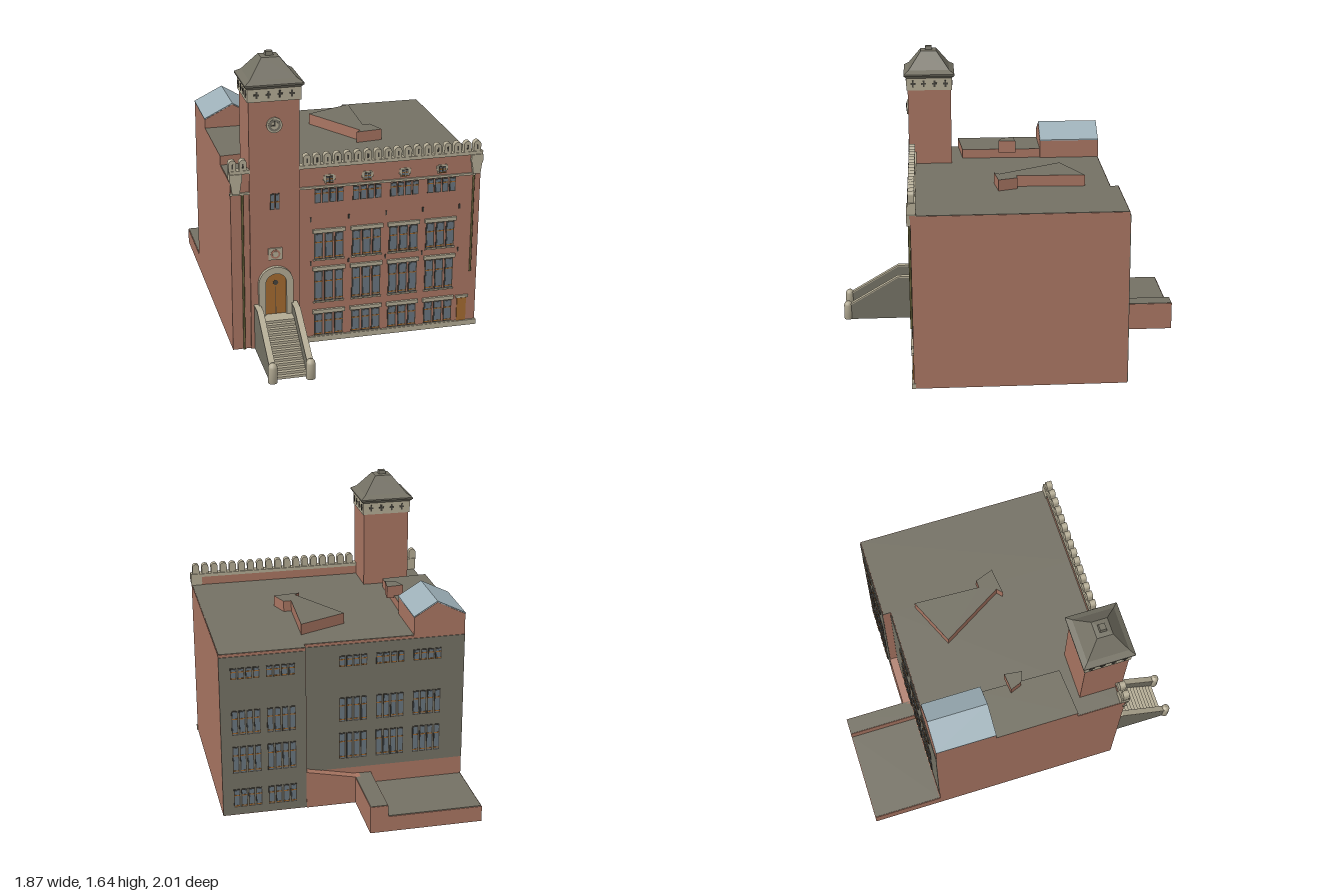
import * as THREE from 'three';

const mat = (name, color) => {
  const m = new THREE.MeshStandardMaterial({ color });
  m.name = name;
  return m;
};

export function createModel() {
  const brick = mat('brick', 0xa87562), stone = mat('stone', 0xb3ab94), slate = mat('slate', 0x747164),
    glass = mat('window glass', 0x68757f), skyGlass = mat('skylight glass', 0x9db0b8),
    frame = mat('dark frame', 0x45423c), wood = mat('orange wood', 0xa36a30), pipe = mat('drain pipe', 0x66623a);

  const model = new THREE.Group();
  model.name = 'building';
  // Building axes: x along the facade, y up, d = depth behind the facade (z = -d)
  const house = new THREE.Group();
  house.name = 'turnedBuilding';
  house.position.set(-0.83, 0, 0.31);
  house.rotation.y = -29.65 * Math.PI / 180;
  model.add(house);

  const add = (name, geo, m, parent = house) => {
    const mesh = new THREE.Mesh(geo, m);
    mesh.name = name;
    parent.add(mesh);
    return mesh;
  };
  const box = (name, m, x0, x1, y0, y1, d0, d1, parent = house) => {
    const mesh = add(name, new THREE.BoxGeometry(x1 - x0, y1 - y0, d1 - d0), m, parent);
    mesh.position.set((x0 + x1) / 2, (y0 + y1) / 2, -(d0 + d1) / 2);
    return mesh;
  };
  const shapeOf = pts => new THREE.Shape(pts.map(p => new THREE.Vector2(...p)));
  const extrude = (shape, depth) => new THREE.ExtrudeGeometry(shape, { depth, bevelEnabled: false, curveSegments: 12 });
  // Prism with a plan outline in (x, d)
  const planBlock = (name, pts, y0, y1) => {
    const mesh = add(name, extrude(shapeOf(pts), y1 - y0).rotateX(-Math.PI / 2), [slate, brick]);
    mesh.position.y = y0;
  };
  // Shape with straight sides and a round top, standing on y = 0
  const archShape = (w, h) => {
    const s = new THREE.Shape();
    s.moveTo(-w / 2, 0);
    s.lineTo(w / 2, 0);
    s.lineTo(w / 2, h - w / 2);
    s.absarc(0, h - w / 2, w / 2, 0, Math.PI, false);
    s.lineTo(-w / 2, 0);
    return s;
  };

  // Main volume with a shallow step at the back
  box('mainBlock', brick, 0, 0.905, 0, 0.965, 0, 1.1);
  box('rightBlock', brick, 0.905, 1.38, 0, 0.965, 0, 1.145);
  box('mainRoof', slate, 0.003, 0.905, 0.96, 0.968, 0.02, 1.097);
  box('rightRoof', slate, 0.905, 1.377, 0.96, 0.968, 0.02, 1.142);
  box('backRenderLeft', slate, 0.0, 0.9, 0.2, 0.95, 1.098, 1.104);
  box('backRenderRight', slate, 0.908, 1.38, 0.005, 0.95, 1.143, 1.149);

  // Raised roof areas
  planBlock('raisedRoof', [[0, 0.28], [0.27, 0.3], [0.28, 0.76], [0, 0.76]], 0.95, 1.02);
  planBlock('roofBlock', [[0.626, 0.84], [0.838, 0.489], [0.808, 0.46], [0.96, 0.478], [0.922, 0.583],
    [0.878, 0.581], [0.893, 0.958]].reverse(), 0.95, 1.03);
  planBlock('roofVent', [[0.223, 0.599], [0.249, 0.533], [0.308, 0.51], [0.321, 0.609]], 1.01, 1.08);

  // Gabled skylight
  add('skylightWalls', extrude(shapeOf([[0, 0.95], [0.29, 0.95], [0.29, 1.07], [0.16, 1.15], [0, 1.07]]), 0.345), brick)
    .position.z = -1.1;
  add('skylightGlass', extrude(shapeOf([[-0.002, 1.07], [0.16, 1.15], [0.292, 1.07], [0.292, 1.076], [0.16, 1.157],
    [-0.002, 1.076]]), 0.343), skyGlass).position.z = -1.099;

  // Low annex at the back
  box('annex', brick, 0, 0.63, 0, 0.09, 1.09, 1.51);
  box('annexRoof', slate, 0.004, 0.53, 0.085, 0.094, 1.104, 1.506);
  box('annexStrip', brick, 0.53, 0.63, 0, 0.157, 1.09, 1.51);
  box('annexStripRoof', slate, 0.533, 0.627, 0.15, 0.16, 1.104, 1.507);
  add('backLedge', extrude(shapeOf([[0.6, 0], [0.91, 0], [0.91, 0.22], [0.63, 0.16], [0.6, 0.16]]), 0.055), brick)
    .position.z = -1.15;

  // Front parapet, bands and battlements
  box('frontParapet', brick, 0.37, 1.38, 0.95, 1.03, -0.004, 0.025);
  box('leftParapet', brick, 0, 0.11, 0.95, 1.03, -0.004, 0.025);
  box('plinth', stone, 0.37, 1.385, 0, 0.03, -0.012, 0.01);
  for (const [x0, x1] of [[-0.005, 0.105], [0.365, 1.385]]) {
    box('coping', stone, x0, x1, 1.018, 1.037, -0.014, 0.03);
    box('cornice', stone, x0, Math.min(x1, 1.35), 0.9, 0.912, -0.01, 0.01);
  }
  const merlonShape = archShape(0.04, 0.064);
  const merlon = x => {
    add('merlon', extrude(merlonShape, 0.034), stone).position.set(x, 1.032, -0.023);
    box('merlonSlot', frame, x - 0.004, x + 0.004, 1.05, 1.075, -0.013, -0.008);
  };
  for (let i = 0; i < 18; i++) merlon(0.41 + i * 0.0555);
  for (const x of [0.012, 0.068]) merlon(x);
  const corbel = shapeOf([[-0.02, 0], [0.02, 0], [0.028, 0.06], [0.033, 0.07], [0.033, 0.11], [-0.033, 0.11],
    [-0.033, 0.07], [-0.028, 0.06]]);
  for (const x of [0.027, 1.352]) add('cornerCorbel', extrude(corbel, 0.05), stone).position.set(x, 0.91, -0.03);
  for (const [x, y0] of [[0.062, 0], [1.34, 0.33]]) {
    add('drainPipe', new THREE.CylinderGeometry(0.006, 0.006, 0.9 - y0, 8), pipe).position.set(x, (0.9 + y0) / 2, 0.007);
  }

  // Window group: n framed panes with wooden cross bars
  const windows = (x, y0, y1, w, n, d, back, bars) => {
    const g = new THREE.Group();
    g.name = 'windowGroup';
    g.position.set(x, y0, -d);
    if (back) g.rotation.y = Math.PI;
    house.add(g);
    const pitch = w / n, h = y1 - y0, half = pitch * 0.42;
    for (let i = 0; i < n; i++) {
      const c = (i + 0.5) * pitch - w / 2;
      box('windowFrame', frame, c - half, c + half, 0, h, -0.004, 0.001, g);
      box('windowPane', glass, c - half * 0.72, c + half * 0.72, 0.006, h - 0.006, -0.006, -0.001, g);
      for (const b of bars) box('windowBar', wood, c - half * 0.85, c + half * 0.85, h * b - 0.003, h * b + 0.003, -0.008, -0.001, g);
    }
  };

  // Front windows, lintels and wall anchors
  for (const x of [0.532, 0.742, 0.95, 1.159]) {
    for (const [y0, y1] of [[0.035, 0.165], [0.24, 0.42], [0.49, 0.64]]) {
      windows(x, y0, y1, 0.172, 3, 0, false, [0.08, 0.66]);
      box('lintel', stone, x - 0.09, x + 0.09, y1 + 0.004, y1 + 0.025, -0.014, 0.005);
      box('sill', stone, x - 0.086, x + 0.086, y0 - 0.008, y0, -0.009, 0.005);
    }
    windows(x, 0.815, 0.895, 0.165, 4, 0, false, [0.7]);
    box('atticSurround', stone, x - 0.032, x + 0.032, 0.94, 0.968, -0.007, 0.005);
    box('atticSurround', stone, x - 0.024, x + 0.024, 0.925, 0.974, -0.007, 0.005);
    windows(x, 0.928, 0.966, 0.04, 2, -0.006, false, [0.1, 0.6]);
  }
  for (const x of [0.432, 0.643, 0.85, 1.058, 1.266]) {
    box('wallAnchor', frame, x - 0.004, x + 0.004, 0.71, 0.735, -0.006, 0.002);
    box('wallAnchor', frame, x - 0.004, x + 0.004, 0.455, 0.478, -0.006, 0.002);
  }
  box('sideDoor', wood, 1.272, 1.325, 0.03, 0.168, -0.006, 0.002);
  box('sideDoorLintel', stone, 1.262, 1.335, 0.172, 0.186, -0.012, 0.005);

  // Back windows
  const rows = [[0.82, 0.885], [0.49, 0.635], [0.26, 0.42], [0.05, 0.16]];
  rows.forEach(([y0, y1], r) => {
    for (const x of [1.045, 1.24]) windows(x, y0, y1, 0.165, 4, 1.149, true, [0.1, 0.68]);
    if (r < 3) for (const x of [0.213, 0.425, 0.635]) windows(x, y0, y1, 0.165, 4, 1.104, true, [0.1, 0.68]);
  });

  // Tower
  const tx = 0.235, td = 0.115;
  box('towerShaft', brick, 0.1, 0.37, 0, 1.42, -0.012, 0.235);
  box('towerBand', stone, 0.093, 0.377, 1.405, 1.48, -0.019, 0.242);
  for (let side = 0; side < 4; side++) {
    const g = new THREE.Group();
    g.name = 'towerCrosses';
    g.position.set(tx, 1.443, -td + 0.0035);
    g.rotation.y = side * Math.PI / 2;
    house.add(g);
    const out = side % 2 ? 0.142 : 0.1305;
    for (let i = 0; i < 4; i++) {
      const c = (i - 1.5) * 0.062;
      box('crossUpright', frame, c - 0.005, c + 0.005, -0.019, 0.019, -out - 0.003, -out + 0.002, g);
      box('crossArm', frame, c - 0.014, c + 0.014, -0.005, 0.005, -out - 0.003, -out + 0.002, g);
    }
  }
  const profile = [[0, 1.475], [0.142, 1.475], [0.156, 1.49], [0.156, 1.498], [0.125, 1.518], [0.048, 1.615], [0.022, 1.618],
    [0.018, 1.638], [0, 1.638]].map(([r, y]) => new THREE.Vector2(r * Math.SQRT2, y));
  const roof = new THREE.LatheGeometry(profile, 4, Math.PI / 4).toNonIndexed();
  roof.deleteAttribute('normal');
  roof.computeVertexNormals();
  const towerRoof = add('towerRoof', roof, slate);
  towerRoof.position.set(tx, 0, -td + 0.0035);
  towerRoof.scale.z = 0.93;

  // Clock, emblem and slit windows on the tower
  const disc = (name, m, r, y, t) => {
    const mesh = add(name, new THREE.CylinderGeometry(r, r, t, 24).rotateX(Math.PI / 2), m);
    mesh.position.set(tx, y, 0.012 + t / 2);
  };
  disc('clockRim', stone, 0.042, 1.275, 0.008);
  disc('clockFace', slate, 0.033, 1.275, 0.01);
  disc('clockCentre', stone, 0.02, 1.275, 0.012);
  box('clockHand', frame, tx - 0.003, tx + 0.003, 1.272, 1.298, -0.027, -0.02);
  box('clockHand', frame, tx - 0.018, tx + 0.003, 1.272, 1.278, -0.027, -0.02);
  box('emblemPlate', stone, tx - 0.038, tx + 0.038, 0.518, 0.585, -0.019, -0.01);
  disc('emblemRing', brick, 0.026, 0.551, 0.009);
  disc('emblemCentre', stone, 0.016, 0.551, 0.011);
  windows(tx, 0.805, 0.895, 0.055, 2, -0.012, false, [0.5]);

  // Arched entrance
  const surround = archShape(0.19, 0.28);
  surround.holes.push(archShape(0.114, 0.242));
  add('doorSurround', extrude(surround, 0.025), stone).position.set(tx, 0.2, 0.008);
  add('frontDoor', extrude(archShape(0.118, 0.244), 0.006), wood).position.set(tx, 0.2, 0.01);
  box('doorSplit', frame, tx - 0.002, tx + 0.002, 0.2, 0.36, -0.018, -0.01);
  disc('doorWindow', frame, 0.014, 0.385, 0.007);

  // Entrance stairs with sloping side walls and round-topped posts
  box('landing', stone, 0.14, 0.33, 0, 0.2, -0.1, 0);
  const steps = 13, run = 0.28 / steps;
  for (let i = 0; i < steps; i++) {
    box('step', stone, 0.14, 0.33, 0, 0.2 * (steps - i) / (steps + 1), -0.1 - run * (i + 1), -0.1 - run * i);
  }
  const cheek = extrude(shapeOf([[0, 0], [0.39, 0], [0.39, 0.085], [0.1, 0.255], [0, 0.255]]), 0.03).rotateY(-Math.PI / 2);
  const coping = extrude(shapeOf([[0, 0.255], [0.1, 0.255], [0.39, 0.085], [0.39, 0.093], [0.1, 0.263], [0, 0.263]]), 0.034)
    .rotateY(-Math.PI / 2);
  const post = new THREE.LatheGeometry([[0, 0], [0.025, 0], [0.025, 0.085], [0.022, 0.098], [0.013, 0.108], [0, 0.112]]
    .map(p => new THREE.Vector2(...p)), 16);
  for (const x of [0.133, 0.335]) {
    add('stairSideWall', cheek, slate).position.x = x + 0.015;
    add('stairCoping', coping, stone).position.x = x + 0.017;
    add('stairPost', post, stone).position.set(x, 0, 0.4);
  }
  return model;
}
